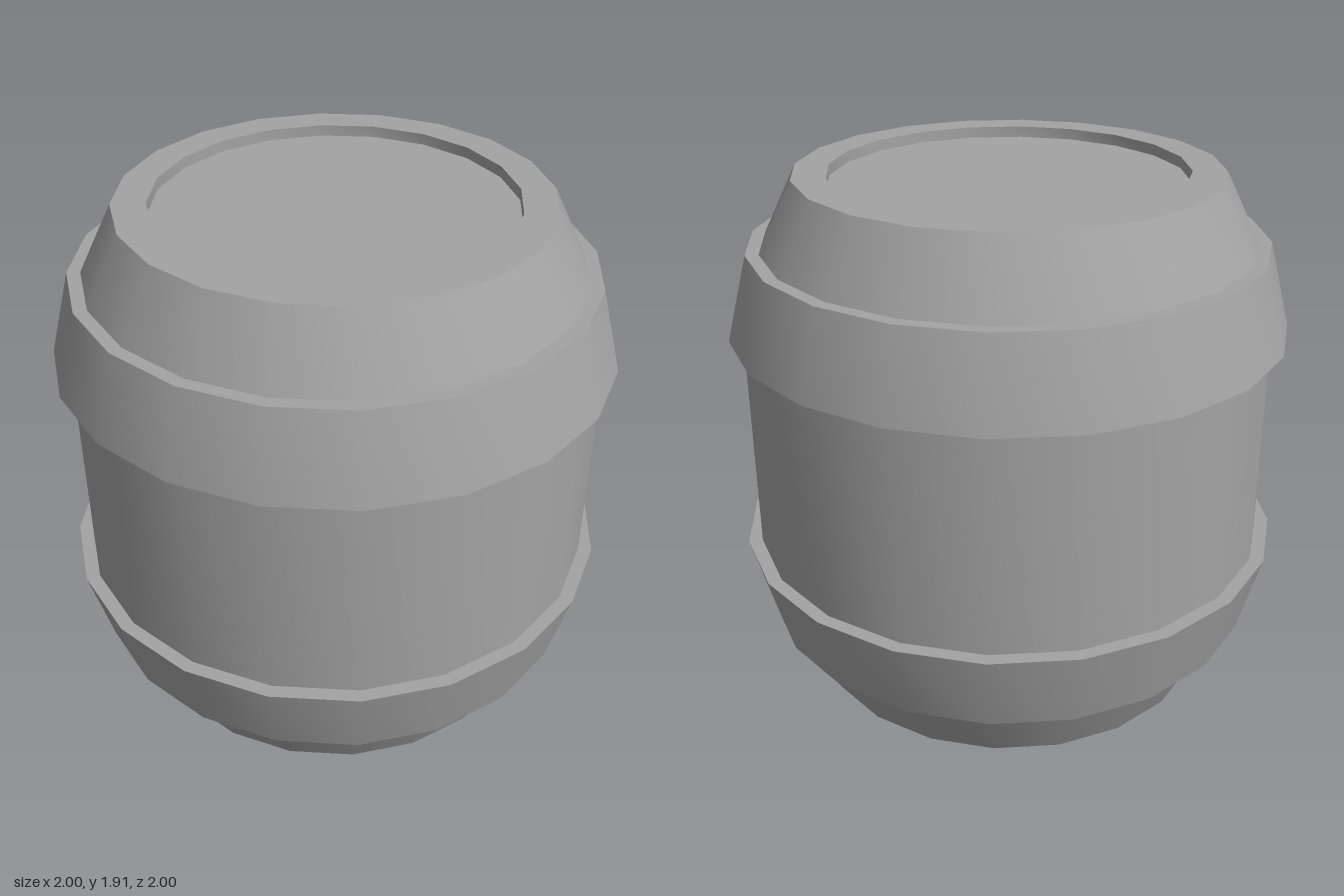
import * as THREE from 'three';
import { toCreasedNormals } from 'three/addons/utils/BufferGeometryUtils.js';

const SIDES = 20;
const HEIGHT = 1.906;

// Revolves a profile of [radius, y] points, smooth around and sharp between rings
function turned(name, profile, material) {
  const points = profile.map(([r, y]) => new THREE.Vector2(r, y));
  const geometry = toCreasedNormals(new THREE.LatheGeometry(points, SIDES), 0.4);
  const mesh = new THREE.Mesh(geometry, material);
  mesh.name = name;
  return mesh;
}

// Mirrors a profile about mid height, reversed so faces keep pointing outward
const mirrored = (profile) => profile.map(([r, y]) => [r, HEIGHT - y]).reverse();

export function createModel() {
  const barrel = new THREE.Group();
  barrel.name = 'barrel';

  const grey = new THREE.MeshStandardMaterial({ color: 0xa3a3a3 });
  grey.name = 'grey';

  // Body with a recessed lid at both ends
  const lower = [[0, 0.04], [0.63, 0.04], [0.63, 0], [0.75, 0], [0.95, 0.4]];
  barrel.add(turned('body', [...lower, ...mirrored(lower)], grey));

  // Flared hoops, widest toward the middle of the barrel
  const hoop = [[0.87, 0.246], [0.92, 0.246], [1, 0.55], [0.95, 0.55]];
  barrel.add(turned('lowerHoop', hoop, grey));
  barrel.add(turned('upperHoop', mirrored(hoop), grey));

  return barrel;
}
